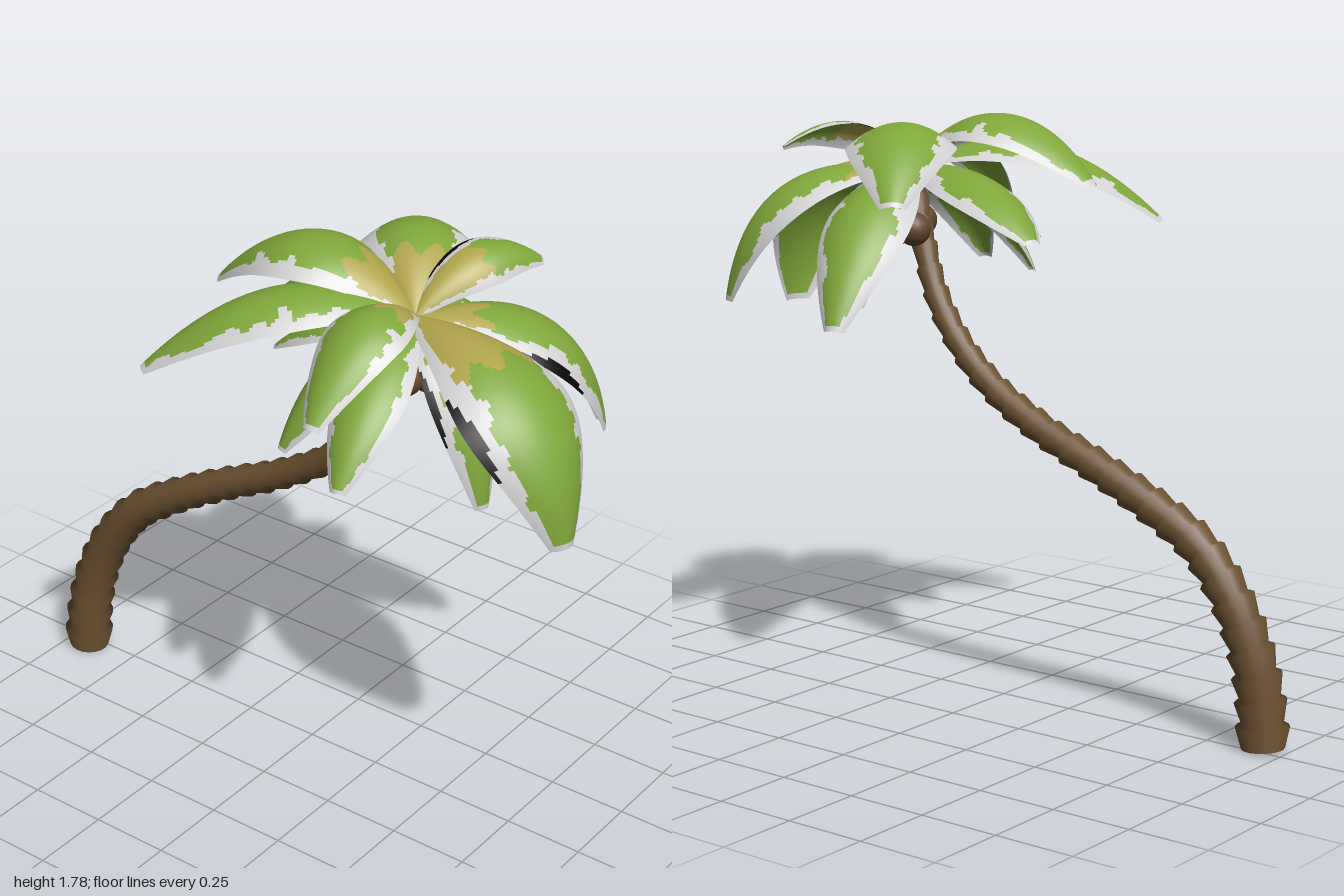
import * as THREE from 'three';

const mat = (name, color, side = THREE.FrontSide) => {
  const m = new THREE.MeshStandardMaterial({ color, side });
  m.name = name;
  return m;
};

// x, y, z along the leaning trunk
const TRUNK = [
  [-0.924, 0.005, 0.03], [-0.916, 0.12, 0.03], [-0.89, 0.27, 0.02], [-0.825, 0.43, 0.01],
  [-0.71, 0.58, 0], [-0.56, 0.68, -0.02], [-0.38, 0.775, -0.04], [-0.18, 0.87, -0.055],
  [0, 0.98, -0.06], [0.13, 1.1, -0.055], [0.23, 1.24, -0.04], [0.3, 1.4, -0.015], [0.37, 1.6, 0.02],
];

// tip position, bend (fraction outward, height), full width, yellow share, roll,
// dark edge (side, start, end)
const FRONDS = [
  { tip: [0.99, 1.13, 0.15], bend: [0.96, 1.7], width: 0.4, yellow: 0.33, dark: [1, 0.3, 0.78] },
  { tip: [0.77, 1.21, -0.4], bend: [0.88, 1.7], width: 0.35, yellow: 0.2, dark: [1, 0.3, 0.78] },
  { tip: [0.55, 1.69, -0.37], bend: [0.5, 1.84], width: 0.17, yellow: 0.52, roll: 0.5, dark: [-1, 0.1, 0.6] },
  { tip: [0.03, 1.55, -0.48], bend: [0.5, 1.95], width: 0.33, yellow: 0.28 },
  { tip: [-0.26, 1.59, 0.1], bend: [0.5, 1.97], width: 0.33, yellow: 0.28 },
  { tip: [-0.24, 1.45, 0.49], bend: [0.5, 1.84], width: 0.29, yellow: 0.13 },
  { tip: [0.38, 1.46, 0.52], bend: [0.5, 1.85], width: 0.25, yellow: 0.32 },
  { tip: [0.22, 1.18, -0.53], bend: [0.7, 1.64], width: 0.28, yellow: 0.1 },
  { tip: [-0.25, 1.44, -0.18], bend: [0.6, 1.69], width: 0.25, yellow: 0.1 },
  { tip: [0.69, 1.13, 0.11], bend: [0.92, 1.6], width: 0.22, yellow: 0.08, dark: [1, 0.3, 0.78] },
  { tip: [0.46, 1.28, 0.5], bend: [0.7, 1.6], width: 0.21, yellow: 0.08 },
  { tip: [0.17, 1.27, 0.38], bend: [0.7, 1.58], width: 0.22, yellow: 0.08 },
  { tip: [-0.06, 1.42, 0.1], bend: [0.6, 1.6], width: 0.18, yellow: 0.08 },
];

const COCONUTS = [[0.41, 1.42, -0.01], [0.37, 1.46, -0.05], [0.3, 1.43, -0.06], [0.39, 1.44, 0.08]];

const CROWN = new THREE.Vector3(0.38, 1.61, 0.02);
const UP = new THREE.Vector3(0, 1, 0);

function makeRandom(seed) {
  let s = seed;
  return () => (s = (s * 16807) % 2147483647) / 2147483647;
}

// Trunk skin: loops that flare upward in each ring, then step back in, shaded round
function trunkGeometry() {
  const path = new THREE.CatmullRomCurve3(TRUNK.map((p) => new THREE.Vector3(...p)));
  const rings = 29, sides = 18, pos = [], nor = [], idx = [];
  const loops = [];
  for (let i = 0; i < rings; i++) {
    const r = 0.038 + 0.042 * Math.pow(1 - i / rings, 1.5);
    loops.push([i / rings, r * 0.8], [(i + 0.85) / rings, r]);
  }
  loops.forEach(([t, r], i) => {
    const p = path.getPointAt(t);
    const turn = new THREE.Quaternion().setFromUnitVectors(UP, path.getTangentAt(t));
    for (let j = 0; j <= sides; j++) {
      const a = (j / sides) * Math.PI * 2;
      const n = new THREE.Vector3(Math.sin(a), 0, Math.cos(a)).applyQuaternion(turn);
      pos.push(p.x + n.x * r, p.y + n.y * r, p.z + n.z * r);
      nor.push(n.x, n.y, n.z);
      if (i && j) {
        const b = i * (sides + 1) + j, d = b - sides - 1;
        idx.push(d - 1, d, b - 1, d, b, b - 1);
      }
    }
  });
  const geo = new THREE.BufferGeometry();
  geo.setAttribute('position', new THREE.Float32BufferAttribute(pos, 3));
  geo.setAttribute('normal', new THREE.Float32BufferAttribute(nor, 3));
  geo.setIndex(idx);
  return geo;
}

// Arched leaf sheet; its cells are sorted into green, pale edge, yellow and dark groups
function frondGeometry({ tip, bend, width, yellow, roll = 0, dark = [0, 0, 1] }, seed) {
  const rand = makeRandom(seed * 7919 + 17);
  const end = new THREE.Vector3(...tip);
  const mid = CROWN.clone().lerp(end, bend[0]).setY(bend[1]);
  const curve = new THREE.QuadraticBezierCurve3(CROWN, mid, end);
  const side = new THREE.Vector3(CROWN.z - end.z, 0, end.x - CROWN.x).normalize();
  const rows = 60, cols = 36, pos = [];

  for (let i = 0; i <= rows; i++) {
    const t = i / rows;
    const p = curve.getPoint(t);
    const tangent = curve.getTangent(t);
    const s = side.clone().applyAxisAngle(tangent, roll);
    const n = s.clone().cross(tangent);
    const half = (width / 2) * Math.pow(Math.sin(Math.PI * (0.025 + 0.925 * t)), 0.8);
    for (let j = 0; j <= cols; j++) {
      const v = (j / cols) * 2 - 1;
      const q = p.clone().addScaledVector(s, v * half).addScaledVector(n, -0.45 * half * v * v);
      pos.push(q.x, q.y, q.z);
    }
  }

  // Ragged margins: each side drifts toward a new depth every few rows
  const [darkSide, darkStart, darkEnd] = dark;
  const margin = [0.2, 0.2], target = [0.2, 0.2];
  const lists = [[], [], [], []];
  for (let i = 0; i < rows; i++) {
    const t = (i + 0.5) / rows;
    const swell = Math.max(0, Math.sin((Math.PI * (t - darkStart)) / (darkEnd - darkStart)));
    for (const k of [0, 1]) {
      if (i % 3 === k) target[k] = 0.18 + 0.36 * rand() * rand() + (t > 0.88 ? 0.08 : 0);
      margin[k] += (target[k] - margin[k]) * 0.7;
    }
    for (let j = 0; j < cols; j++) {
      const v = ((j + 0.5) / cols) * 2 - 1;
      const edge = 1 - Math.abs(v);
      const black = v * darkSide > 0 && t > darkStart && t < darkEnd ? 0.16 * swell : 0;
      let c = 0;
      if (edge < black) c = 3;
      else if (edge < margin[v > 0 ? 1 : 0] + black * 0.6 || t > 0.975) c = 1;
      else if (t < yellow + 0.04 * Math.sin(v * 9 + seed)) c = 2;
      const a = i * (cols + 1) + j, b = a + cols + 1;
      lists[c].push(a, a + 1, b, a + 1, b + 1, b);
    }
  }

  const geo = new THREE.BufferGeometry();
  geo.setAttribute('position', new THREE.Float32BufferAttribute(pos, 3));
  geo.setIndex(lists.flat());
  let start = 0;
  lists.forEach((list, c) => {
    if (list.length) geo.addGroup(start, list.length, c);
    start += list.length;
  });
  geo.computeVertexNormals();
  return geo;
}

export function createModel() {
  const model = new THREE.Group();
  model.name = 'palmTree';

  const bark = mat('bark brown', 0x6b5030);
  const husk = mat('coconut brown', 0x664830);
  const leafMats = [
    mat('leaf green', 0x7fa63a, THREE.DoubleSide),
    mat('pale leaf edge', 0xd2d2d2, THREE.DoubleSide),
    mat('leaf base yellow', 0xb0a44c, THREE.DoubleSide),
    mat('dark leaf edge', 0x060606, THREE.DoubleSide),
  ];

  const trunk = new THREE.Mesh(trunkGeometry(), bark);
  trunk.name = 'trunk';
  model.add(trunk);

  // Flat underside of the trunk
  const foot = new THREE.Mesh(new THREE.CircleGeometry(0.064, 18), bark);
  foot.name = 'trunkFoot';
  foot.rotation.x = Math.PI / 2;
  foot.position.set(-0.924, 0.004, 0.03);
  model.add(foot);

  // Coconuts clustered under the crown
  const coconuts = new THREE.Group();
  coconuts.name = 'coconuts';
  for (const p of COCONUTS) {
    const nut = new THREE.Mesh(new THREE.SphereGeometry(0.052, 18, 14), husk);
    nut.name = 'coconut';
    nut.position.set(...p);
    coconuts.add(nut);
  }
  model.add(coconuts);

  // Crown of fronds
  const crown = new THREE.Group();
  crown.name = 'crown';
  FRONDS.forEach((f, i) => {
    const leaf = new THREE.Mesh(frondGeometry(f, i + 1), leafMats);
    leaf.name = 'frond';
    crown.add(leaf);
  });
  model.add(crown);

  return model;
}
